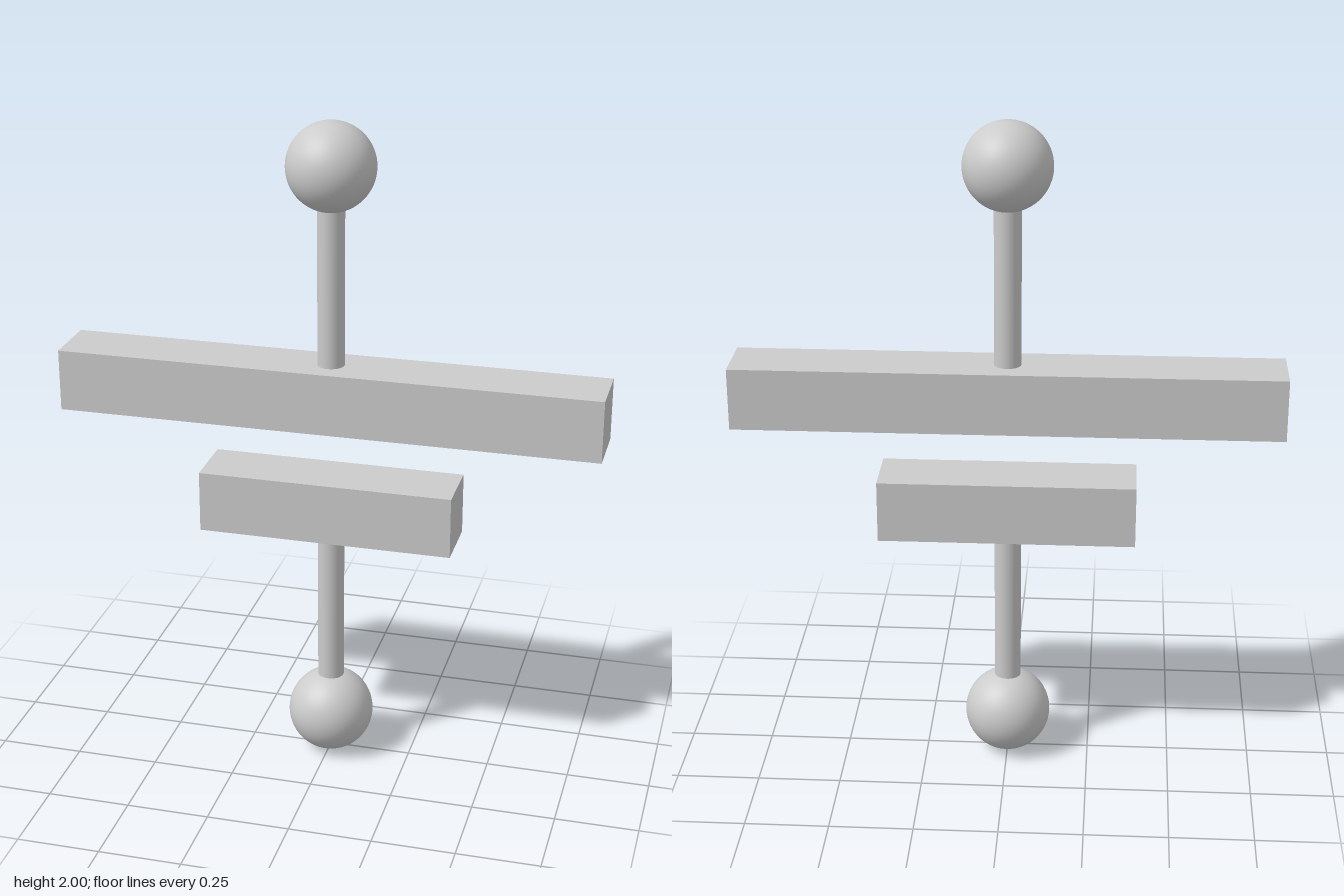
import * as THREE from 'three';

export function createModel() {
  const model = new THREE.Group();
  const material = new THREE.MeshStandardMaterial({ color: 0xcccccc });

  function add(name, geometry, y) {
    const mesh = new THREE.Mesh(geometry, material);
    mesh.name = name;
    mesh.position.y = y;
    model.add(mesh);
  }

  const ballRadius = 0.13;
  const rodRadius = 0.04;
  const barSize = 0.187;

  // Each half: a crossbar, with a rod leading out to an end ball
  const halves = [
    { name: 'upper', ballY: 1.87, barY: 1.184, barLength: 1.624 },
    { name: 'lower', ballY: 0.13, barY: 0.835, barLength: 0.767 },
  ];

  for (const { name, ballY, barY, barLength } of halves) {
    const out = Math.sign(ballY - barY);
    const rodStart = barY + out * barSize / 2;
    const rodEnd = ballY - out * (ballRadius - 0.01); // sinks slightly into the ball

    add(name + 'Ball', new THREE.SphereGeometry(ballRadius, 48, 32), ballY);
    add(name + 'Rod',
      new THREE.CylinderGeometry(rodRadius, rodRadius, Math.abs(rodEnd - rodStart), 32),
      (rodStart + rodEnd) / 2);
    add(name + 'Crossbar', new THREE.BoxGeometry(barLength, barSize, barSize), barY);
  }

  return model;
}
